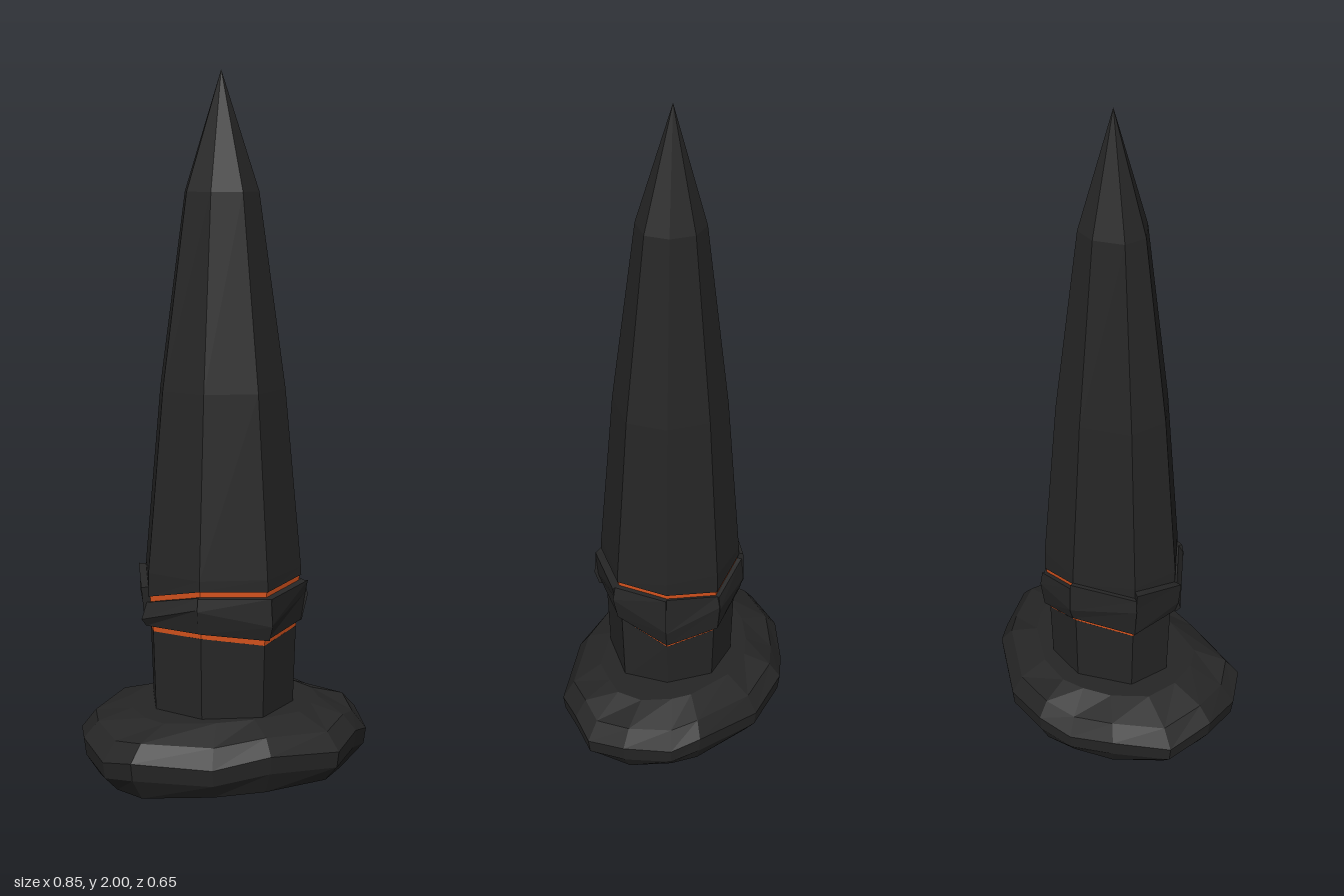
import * as THREE from 'three';

// Surface through rings of equal length (bottom to top, clockwise from above), capped, faceted
function loft(rings) {
  const pos = [];
  const tri = (...p) => p.forEach((v) => pos.push(...v));
  const n = rings[0].length;
  for (let r = 0; r < rings.length - 1; r++) {
    const a = rings[r], b = rings[r + 1];
    for (let i = 0; i < n; i++) {
      const j = (i + 1) % n;
      tri(a[j], a[i], b[i]);
      tri(a[j], b[i], b[j]);
    }
  }
  const centre = (ring) => [0, 1, 2].map((k) => ring.reduce((s, p) => s + p[k], 0) / n);
  const lo = rings[0], hi = rings[rings.length - 1];
  const cl = centre(lo), ch = centre(hi);
  for (let i = 0; i < n; i++) {
    const j = (i + 1) % n;
    tri(cl, lo[i], lo[j]);
    tri(ch, hi[j], hi[i]);
  }
  const g = new THREE.BufferGeometry();
  g.setAttribute('position', new THREE.Float32BufferAttribute(pos, 3));
  g.computeVertexNormals();
  return g;
}

// Uneven octagon shared by spire, column and stones, with the crack heights at each corner
const OCT = [[0.05, -0.20], [0.18, -0.10], [0.23, 0.05], [0.12, 0.20],
  [-0.08, 0.21], [-0.23, 0.11], [-0.24, -0.04], [-0.10, -0.18]];
const UPPER = [0.535, 0.56, 0.575, 0.565, 0.57, 0.53, 0.56, 0.575];
const LOWER = [0.375, 0.345, 0.42, 0.405, 0.43, 0.425, 0.40, 0.42];
const CX = -0.01, CZ = 0.01;

const corner = (i, s, y) => [CX + (OCT[i][0] - CX) * s, y, CZ + (OCT[i][1] - CZ) * s];
const ring = (s, y) => OCT.map((_, i) => corner(i, s, typeof y === 'function' ? y(i) : y));

// Base outline
const BASE = [[-0.425, -0.02], [-0.335, -0.17], [-0.23, -0.26], [-0.135, -0.315],
  [0.025, -0.33], [0.235, -0.265], [0.31, -0.21], [0.4, -0.1],
  [0.42, 0.02], [0.38, 0.1], [0.32, 0.2], [0.12, 0.29],
  [-0.045, 0.325], [-0.27, 0.325], [-0.35, 0.255], [-0.41, 0.13]];
const baseRing = (s, y, wave = 0) =>
  BASE.map(([x, z], i) => [x * s, y + (i % 2 ? wave : -wave), z * s]);

export function createModel() {
  const group = new THREE.Group();
  const stone = new THREE.MeshStandardMaterial({ color: 0x262626 });
  stone.name = 'dark stone';
  const ember = new THREE.MeshStandardMaterial({ color: 0xd9541e });
  ember.name = 'ember orange';
  const add = (name, geometry, material) => {
    const m = new THREE.Mesh(geometry, material);
    m.name = name;
    group.add(m);
  };

  // Boulder-like foot
  add('base', loft([
    baseRing(0.89, 0),
    baseRing(0.985, 0.055, 0.01),
    baseRing(1, 0.105, 0.012),
    baseRing(0.9, 0.155, 0.008),
    baseRing(0.66, 0.19),
  ]), stone);

  // Lower column, broken off unevenly at the lower crack
  add('column', loft([ring(0.87, 0.17), ring(0.9, (i) => LOWER[i])]), stone);

  // Glowing core that shows through both cracks
  add('glowingCore', loft([
    ring(0.895, (i) => LOWER[i] - 0.01),
    ring(0.91, (i) => LOWER[i] + 0.03),
    ring(0.94, (i) => UPPER[i] + 0.008),
  ]), ember);

  // Tapering spire
  add('spire', loft([
    ring(0.96, (i) => UPPER[i]),
    ring(0.955, 0.6),
    ring(0.755, 1.12),
    ring(0.44, 1.67),
    ring(0.001, 2),
  ]), stone);

  // Loose stones between the cracks: [bulge at top, middle, bottom, extra top height]
  const SHAPES = [[0.97, 1.02, 0.98, 0], [1.0, 1.04, 0.97, 0], [1.04, 1.01, 0.96, 0],
    [1.03, 1.06, 1.0, 0], [0.98, 1.05, 0.99, 0], [1.05, 1.02, 0.97, 0.045],
    [1.02, 1.04, 0.97, 0.02], [1.0, 1.03, 0.98, 0]];
  SHAPES.forEach(([top, mid, bottom, rise], i) => {
    const j = (i + 1) % 8;
    const level = (s, yi, yj) => [
      corner(i, 0.8, yi), corner(i, s, yi), corner(j, s, yj), corner(j, 0.8, yj)];
    const lo = (k) => LOWER[k] + 0.02, hi = (k) => UPPER[k] - 0.016 + rise;
    const between = (k, t) => lo(k) + (hi(k) - lo(k)) * t;
    const t = i % 2 ? 0.35 : 0.7;
    // corners run inner, outer, outer, inner, so reverse to keep faces outward
    const shape = [
      level(bottom, lo(i), lo(j)),
      level(mid, between(i, t), between(j, 1 - t)),
      level(top, hi(i), hi(j)),
    ];
    add('crackedStone' + (i + 1), loft(shape), stone);
  });

  return group;
}
